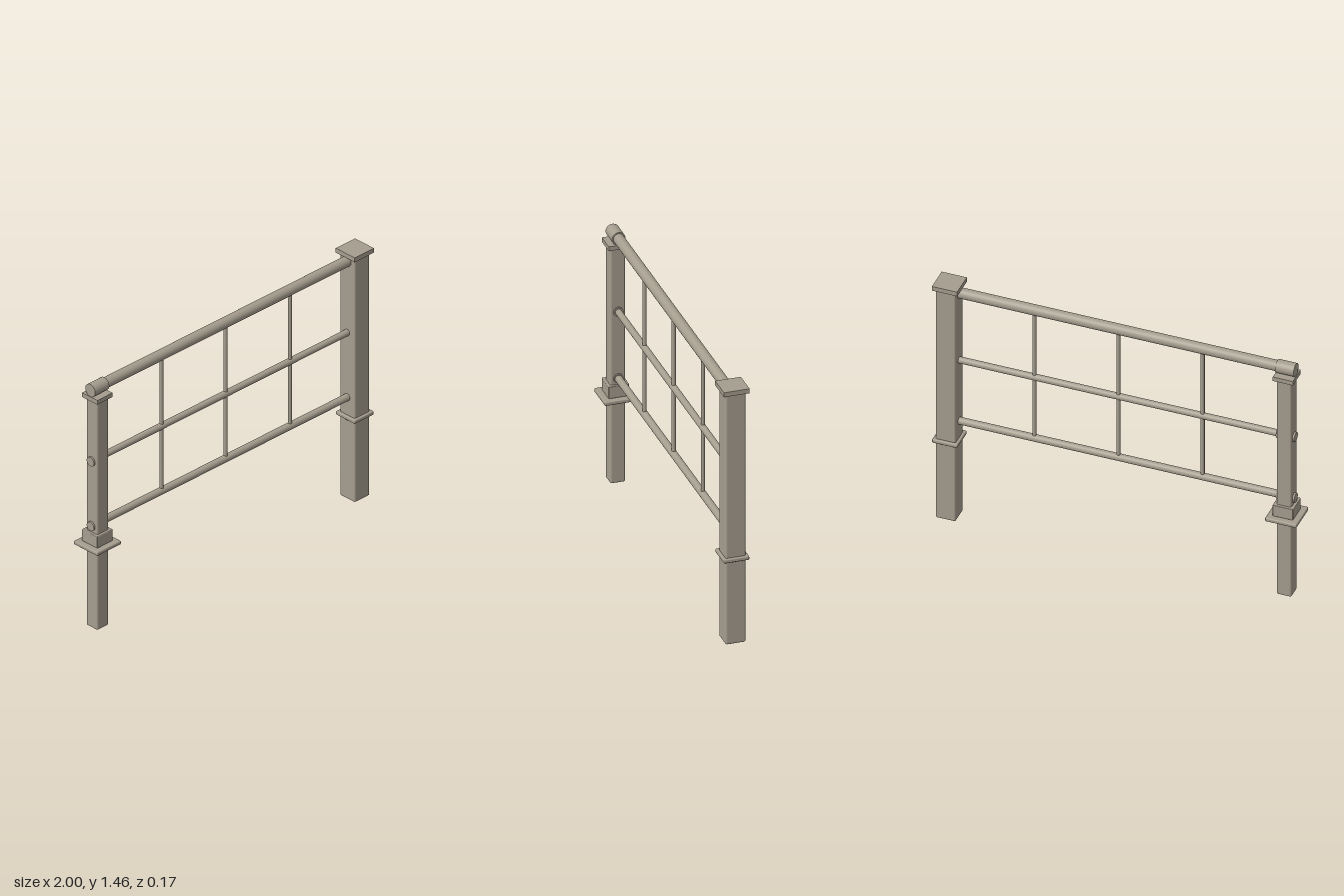
import * as THREE from 'three';
import { RoundedBoxGeometry } from 'three/addons/geometries/RoundedBoxGeometry.js';

export function createModel() {
  const group = new THREE.Group();
  const paint = new THREE.MeshStandardMaterial({ color: 0xa59d8e });
  paint.name = 'warm grey paint';

  const add = (name, geometry, x, y) => {
    const mesh = new THREE.Mesh(geometry, paint);
    mesh.name = name;
    mesh.position.set(x, y, 0);
    group.add(mesh);
    return mesh;
  };
  // Square block between two heights, with softened edges when bevel > 0
  const block = (name, x, width, y0, y1, bevel = 0) => {
    const h = y1 - y0;
    const geometry = bevel
      ? new RoundedBoxGeometry(width, h, width, 2, bevel)
      : new THREE.BoxGeometry(width, h, width);
    add(name, geometry, x, (y0 + y1) / 2);
  };
  // Round bar running along x
  const bar = (name, x0, x1, y, radius) => {
    const geometry = new THREE.CylinderGeometry(radius, radius, x1 - x0, 32);
    add(name, geometry.rotateZ(Math.PI / 2), (x0 + x1) / 2, y);
  };

  // Slim post with its base flange, collar and cap
  const slimX = -0.914;
  block('slimPost', slimX, 0.082, 0, 1.36, 0.01);
  block('slimPostFlange', slimX, 0.172, 0.477, 0.499, 0.006);
  block('slimPostCollar', slimX, 0.112, 0.499, 0.568, 0.004);
  block('slimPostCap', slimX, 0.11, 1.35, 1.375);

  // Thick post with its flange and cap
  const thickX = 0.93;
  block('thickPost', thickX, 0.109, 0, 1.44, 0.01);
  block('thickPostFlange', thickX, 0.138, 0.477, 0.499, 0.006);
  block('thickPostCap', thickX, 0.138, 1.437, 1.463);

  // Horizontal rails, each held in a sleeve at the slim post
  const rails = [
    ['topRail', 1.41, 0.029, 0.036],
    ['middleRail', 0.987, 0.018, 0.026],
    ['bottomRail', 0.604, 0.02, 0.026],
  ];
  for (const [name, y, radius, sleeveRadius] of rails) {
    bar(name, -0.93, 0.9, y, radius);
    bar(name + 'Sleeve', -0.965, -0.864, y, sleeveRadius);
  }

  // Thin upright balusters
  for (const x of [-0.455, 0.005, 0.465]) {
    add('baluster', new THREE.CylinderGeometry(0.0105, 0.0105, 0.79, 20), x, 1.0);
  }
  return group;
}
